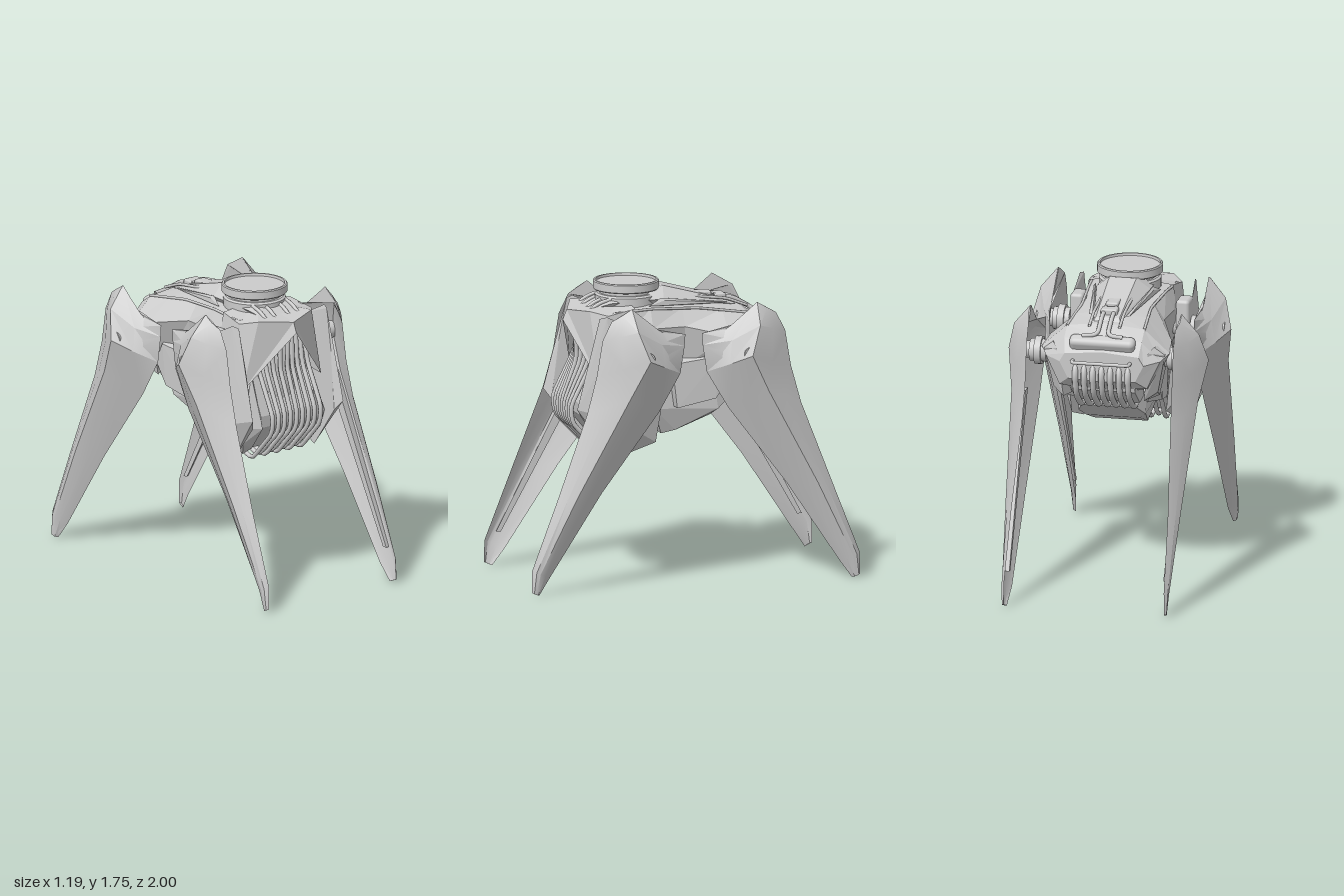
import * as THREE from 'three';
import { toCreasedNormals } from 'three/addons/utils/BufferGeometryUtils.js';
import { ConvexGeometry } from 'three/addons/geometries/ConvexGeometry.js';
import { RoundedBoxGeometry } from 'three/addons/geometries/RoundedBoxGeometry.js';

const flat = new THREE.MeshStandardMaterial({ color: 0xcccccc, flatShading: true, side: THREE.DoubleSide });
const smooth = new THREE.MeshStandardMaterial({ color: 0xcccccc, side: THREE.DoubleSide });
const V = (p) => new THREE.Vector3(...p);

function add(parent, name, geometry, material = flat, pos = [0, 0, 0]) {
  const mesh = new THREE.Mesh(geometry, material);
  mesh.name = name;
  mesh.position.set(...pos);
  parent.add(mesh);
  return mesh;
}
const hull = (pts) => new ConvexGeometry(pts.map(V));
const mirrorX = (pts) => pts.concat(pts.map(([x, y, z]) => [-x, y, z]));

// Skin closed rings of equal length and cap both ends
function loft(rings) {
  const n = rings[0].length, index = [], last = (rings.length - 1) * n;
  for (let i = 0; i < rings.length - 1; i++) for (let j = 0; j < n; j++) {
    const a = i * n + j, b = i * n + (j + 1) % n;
    index.push(a, a + n, b + n, a, b + n, b);
  }
  for (let j = 1; j < n - 1; j++) index.push(0, j, j + 1, last, last + j + 1, last + j);
  const g = new THREE.BufferGeometry();
  g.setAttribute('position', new THREE.Float32BufferAttribute(rings.flat(2), 3));
  g.setIndex(index);
  g.computeVertexNormals();
  return g;
}

// Pipe with straight runs and rounded bends
function pipe(pts, radius, bend = 0.04) {
  const p = pts.map(V), path = new THREE.CurvePath();
  let from = p[0];
  for (let i = 1; i < p.length - 1; i++) {
    const r = Math.min(bend, p[i].distanceTo(p[i - 1]) * 0.45, p[i].distanceTo(p[i + 1]) * 0.45);
    const a = p[i].clone().add(p[i - 1].clone().sub(p[i]).setLength(r));
    const b = p[i].clone().add(p[i + 1].clone().sub(p[i]).setLength(r));
    path.add(new THREE.LineCurve3(from, a));
    path.add(new THREE.QuadraticBezierCurve3(a, p[i], b));
    from = b;
  }
  path.add(new THREE.LineCurve3(from, p[p.length - 1]));
  return new THREE.TubeGeometry(path, 48, radius, 8);
}

// Ridged leg shell, hollow on its inner side, with hip joint
function makeLeg() {
  const leg = new THREE.Group();
  // front edge x y z, ridge x y z, back edge x y z, drop of the back facet
  const rows = [
    [0.435, 1.59, 0.5, 0.45, 1.66, 0.38, 0.43, 1.49, 0.05, 0.05],
    [0.435, 1.48, 0.555, 0.55, 1.54, 0.37, 0.43, 1.42, 0.055, 0.03],
    [0.435, 1.27, 0.59, 0.595, 1.37, 0.31, 0.43, 1.26, 0.08, 0],
    [0.44, 1.05, 0.65, 0.555, 1.15, 0.42, 0.435, 1.04, 0.21, 0],
    [0.465, 0.55, 0.84, 0.522, 0.58, 0.73, 0.44, 0.58, 0.56, 0],
    [0.475, 0.15, 0.995, 0.497, 0.13, 0.95, 0.452, 0.1, 0.88, 0],
    [0.477, 0.02, 0.998, 0.487, 0.01, 0.975, 0.468, 0, 0.95, 0]];
  const rings = rows.map(([fx, fy, fz, rx, ry, rz, bx, by, bz, drop]) => {
    const f = [fx, fy, fz], r = [rx, ry, rz], b = [bx, by, bz];
    const mid = (p, q, d) => [(p[0] + q[0]) / 2 + 0.008, (p[1] + q[1]) / 2 - d, (p[2] + q[2]) / 2];
    const fm = mid(f, r, 0), bm = mid(b, r, drop);
    const inner = ([x, y, z], ex) => [ex + (x - ex) * 0.78, y, z + (rz - z) * 0.1];
    return [f, fm, r, bm, b, inner(bm, bx), inner(r, (fx + bx) / 2), inner(fm, fx)];
  });
  add(leg, 'legShell', toCreasedNormals(loft(rings), 0.45), smooth);
  add(leg, 'legInnerStrip', hull([[0.47, 1.15, 0.43], [0.47, 1.15, 0.36], [0.54, 1.15, 0.4],
    [0.458, 0.2, 0.93], [0.458, 0.2, 0.9], [0.485, 0.2, 0.92]]));
  const joint = (name, r, x0, x1) => add(leg, name, new THREE.CylinderGeometry(r, r, x1 - x0, 24),
    smooth, [(x0 + x1) / 2, 1.37, 0.32]).rotation.z = Math.PI / 2;
  joint('hipAxle', 0.05, 0.25, 0.56);
  joint('hipCollar', 0.082, 0.39, 0.43);
  joint('hipRing', 0.066, 0.36, 0.46);
  return leg;
}

export function createModel() {
  const model = new THREE.Group();
  model.name = 'fourLeggedWalker';

  // Legs, mirrored to the four corners
  for (const sx of [1, -1]) for (const sz of [1, -1]) {
    const leg = makeLeg();
    leg.name = (sz > 0 ? 'front' : 'back') + (sx > 0 ? 'Left' : 'Right') + 'Leg';
    leg.scale.set(sx, 1, sz);
    model.add(leg);
  }

  // Main hull: z, top y, shoulder x y, side x y, lower x y, bottom y
  const sections = [
    [-0.515, 1.44, 0.22, 1.42, 0.25, 1.37, 0.2, 1.27, 1.26],
    [-0.47, 1.52, 0.23, 1.5, 0.34, 1.39, 0.26, 1.22, 1.2],
    [-0.39, 1.58, 0.23, 1.555, 0.38, 1.42, 0.27, 1.2, 1.15],
    [-0.24, 1.61, 0.21, 1.58, 0.36, 1.45, 0.24, 1.2, 1.1],
    [0, 1.63, 0.2, 1.6, 0.265, 1.5, 0.21, 1.25, 1.02],
    [0.2, 1.64, 0.23, 1.61, 0.28, 1.5, 0.2, 1.15, 1.0],
    [0.44, 1.62, 0.24, 1.6, 0.285, 1.4, 0.19, 1.15, 1.05]];
  add(model, 'hullBody', loft(sections.map(([z, t, ax, ay, bx, by, cx, cy, u]) => [
    [0, t, z], [ax, ay, z], [bx, by, z], [cx, cy, z], [0, u, z], [-cx, cy, z], [-bx, by, z], [-ax, ay, z]])));

  // Parts repeated on both sides
  for (const s of [1, -1]) {
    const side = new THREE.Group();
    side.name = s > 0 ? 'leftSide' : 'rightSide';
    side.scale.x = s;
    model.add(side);

    // Peaked hood over the grille
    const P = [[0, 1.65, 0.3], [0.25, 1.62, 0.3], [0, 1.59, 0.64], [0.2, 1.61, 0.56], [0, 1.53, 0.665],
      [0.295, 1.2, 0.53], [0.315, 1.22, 0.3], [0.27, 1.59, 0.47]];
    const hood = new THREE.BufferGeometry();
    hood.setAttribute('position', new THREE.Float32BufferAttribute(
      [0, 2, 3, 0, 3, 7, 0, 7, 1, 2, 4, 5, 2, 5, 3, 3, 5, 7, 7, 5, 6, 7, 6, 1].flatMap((i) => P[i]), 3));
    hood.computeVertexNormals();
    add(side, 'hood', hood);

    add(side, 'frontHipBracket', new RoundedBoxGeometry(0.08, 0.2, 0.13, 2, 0.02), smooth, [0.315, 1.44, 0.32]);
    add(side, 'cheekPanel', hull([[0.2, 1.28, 0.5], [0.22, 1.28, 0.52], [0.25, 1.28, 0.3], [0.305, 0.98, 0.55],
      [0.3, 0.95, 0.36], [0.29, 0.88, 0.53], [0.22, 0.785, 0.44], [0.21, 0.85, 0.3], [0.2, 0.97, 0.6], [0.2, 0.83, 0.5]]));
    // Outer shield between leg and grille, ridged outwards
    add(side, 'frontShield', hull([[0.345, 1.6, 0.5], [0.33, 1.59, 0.54], [0.355, 1.5, 0.3], [0.32, 1.35, 0.59],
      [0.36, 1.3, 0.55], [0.34, 1.06, 0.68], [0.41, 1.0, 0.46], [0.405, 0.94, 0.36], [0.32, 0.77, 0.44],
      [0.31, 0.75, 0.45], [0.33, 0.84, 0.2], [0.34, 1.03, 0.17], [0.305, 1.0, 0.64]]));
    add(side, 'sideBlock', hull([[0.18, 1.3, 0.09], [0.27, 1.28, 0.08], [0.27, 1.02, 0.05], [0.18, 1.02, 0.05],
      [0.29, 1.07, -0.18], [0.2, 1.05, -0.18], [0.29, 1.2, -0.27], [0.3, 1.32, -0.2], [0.2, 1.35, -0.25]]));
    add(side, 'rearShield', hull([[0.3, 1.47, -0.45], [0.27, 1.44, -0.49], [0.36, 1.42, -0.43], [0.36, 1.45, -0.24],
      [0.24, 1.14, -0.45], [0.31, 1.18, -0.39], [0.29, 1.12, -0.25], [0.22, 1.12, -0.3]]));

    // Deck rails, rear hoses and turret struts
    add(side, 'deckRail', pipe([[0.09, 1.57, -0.43], [0.09, 1.62, -0.3], [0.09, 1.65, -0.04]], 0.009), smooth);
    add(side, 'rearHose', pipe([[0.03, 1.63, -0.24], [0.03, 1.61, -0.36], [0.03, 1.535, -0.485], [0.12, 1.525, -0.485]], 0.013), smooth);
    add(side, 'deckFin', hull([[0.1, 1.6, -0.3], [0.12, 1.6, -0.3], [0.15, 1.64, -0.02], [0.18, 1.645, 0.1],
      [0.17, 1.66, 0.12], [0.2, 1.62, 0.2], [0.13, 1.6, 0.0]]));
    for (const x of [0.05, 0.12]) add(side, 'turretStrut',
      pipe([[x, 1.66, 0.4], [x, 1.64, 0.48], [x, 1.59, 0.55]], 0.011), smooth);
    add(side, 'shoulderTrim', pipe([[0.23, 1.555, -0.4], [0.205, 1.595, -0.1], [0.23, 1.61, 0.2], [0.25, 1.6, 0.42]], 0.008), smooth);
  }

  // Grille: core shield, solid backing and U-bent pipes
  const core = add(model, 'grilleCore', new THREE.SphereGeometry(1, 24, 16), smooth, [0, 1.2, 0.46]);
  core.scale.set(0.17, 0.29, 0.1);
  for (let i = 0; i < 9; i++) {
    const x = (i - 4) * 0.045, a = Math.abs(x), low = i % 2 ? 0.775 : 0.76;
    add(model, 'frontGrillePipe', pipe([[x, 1.52, 0.59 - 0.5 * a], [x, 1.3, 0.58 - 0.2 * a], [x, 1.05, 0.67],
      [x, 0.95, 0.66], [x, low, 0.48], [x, low + 0.03, 0.4], [x, 1.0, 0.25], [x, 1.2, 0.2]], 0.0135), smooth);
  }
  add(model, 'grilleBacking', hull(mirrorX([[0.21, 1.4, 0.44], [0.2, 1.04, 0.585], [0.2, 0.97, 0.58],
    [0.2, 0.82, 0.46], [0.2, 0.83, 0.41], [0.21, 1.01, 0.28], [0.21, 1.35, 0.25]])));

  // Rear ribs with their core below the tail, and the belly pod
  for (let i = 0; i < 7; i++) {
    const x = (i - 3) * 0.052;
    add(model, 'rearRib', pipe([[x, 1.38, -0.48], [x, 1.3, -0.525], [x, 1.17, -0.49], [x, 1.06, -0.34],
      [x, 1.08, -0.22], [x, 1.2, -0.15]], 0.018, 0.06), smooth);
  }
  add(model, 'rearRibCore', hull(mirrorX([[0.19, 1.32, -0.5], [0.19, 1.19, -0.465], [0.19, 1.09, -0.33],
    [0.19, 1.1, -0.23], [0.19, 1.3, -0.18]])));
  add(model, 'bellyPod', hull(mirrorX([[0.2, 1.01, 0.17], [0.14, 0.85, 0.11], [0.16, 0.87, 0.03], [0.16, 0.95, -0.18],
    [0.2, 0.99, -0.22], [0.16, 1.05, -0.3], [0.2, 1.12, -0.2], [0.2, 1.12, 0.12]])));

  // Raised spine with clamps
  add(model, 'spineDeck', hull(mirrorX([[0.07, 1.6, -0.34], [0.08, 1.58, -0.36], [0.06, 1.65, -0.13], [0.1, 1.62, -0.12],
    [0.08, 1.715, 0.08], [0.16, 1.65, 0.1], [0.16, 1.64, 0.42], [0.1, 1.66, 0.42], [0.12, 1.6, 0.54]])));
  add(model, 'spineClamp', new RoundedBoxGeometry(0.1, 0.05, 0.07, 2, 0.01), smooth, [0, 1.615, -0.28]);
  add(model, 'spineCoupler', new RoundedBoxGeometry(0.075, 0.05, 0.1, 2, 0.01), smooth, [0, 1.63, -0.18]);

  // Tail box and grab bar
  const tail = add(model, 'tailBox', new RoundedBoxGeometry(0.39, 0.1, 0.08, 3, 0.03), smooth, [0, 1.475, -0.475]);
  tail.rotation.x = -0.5;
  add(model, 'tailBar', pipe([[-0.17, 1.38, -0.47], [-0.17, 1.38, -0.56], [0.17, 1.38, -0.56], [0.17, 1.38, -0.47]], 0.011, 0.02), smooth);

  // Turret ring with recessed top
  const turret = [[0, 1.6], [0.175, 1.6], [0.182, 1.61], [0.182, 1.665], [0.17, 1.675], [0.155, 1.675], [0.155, 1.695],
    [0.186, 1.695], [0.192, 1.701], [0.192, 1.744], [0.186, 1.75], [0.176, 1.75], [0.174, 1.735], [0, 1.735]];
  const points = turret.map(([r, y]) => new THREE.Vector2(r, y));
  add(model, 'turretRing', toCreasedNormals(new THREE.LatheGeometry(points, 48), 0.5), smooth, [0, 0, 0.28]);
  return model;
}
